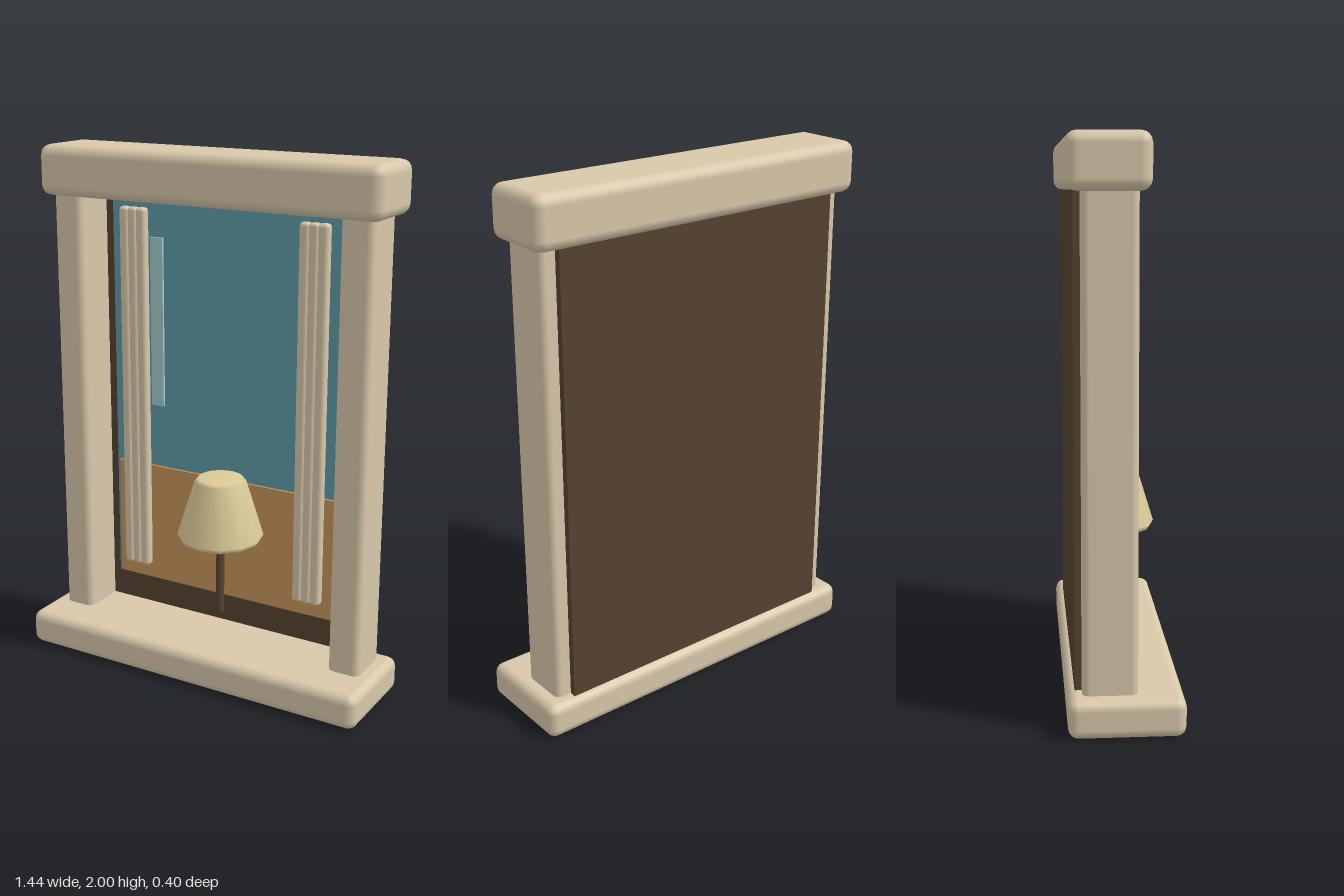
import * as THREE from 'three';
import { RoundedBoxGeometry } from 'three/addons/geometries/RoundedBoxGeometry.js';

const material = (name, color) => {
  const m = new THREE.MeshStandardMaterial({ color });
  m.name = name;
  return m;
};

export function createModel() {
  const stone = material('pale stone', 0xd8c8aa);
  const wood = material('dark wood', 0x564231);
  const glass = material('teal glass', 0x5f9aaa);
  const amber = material('amber panel', 0xc6965a);
  const glint = material('pale glint', 0xa3cccc);
  const cream = material('cream shade', 0xdccb98);

  const model = new THREE.Group();
  model.name = 'windowWithLamp';

  const add = (name, geometry, mat, x = 0, y = 0, z = 0, parent = model) => {
    const mesh = new THREE.Mesh(geometry, mat);
    mesh.name = name;
    mesh.position.set(x, y, z);
    parent.add(mesh);
    return mesh;
  };

  // Box given by its extents; rounded when a radius is passed
  const block = (name, mat, [x0, x1], [y0, y1], [z0, z1], radius = 0, parent = model) => {
    const size = [x1 - x0, y1 - y0, z1 - z0];
    const geometry = radius
      ? new RoundedBoxGeometry(...size, 2, radius)
      : new THREE.BoxGeometry(...size);
    return add(name, geometry, mat, (x0 + x1) / 2, (y0 + y1) / 2, (z0 + z1) / 2, parent);
  };

  // Frame
  block('sill', stone, [-0.72, 0.72], [0, 0.135], [-0.2, 0.2], 0.035);
  block('lintel', stone, [-0.7, 0.7], [1.81, 2], [-0.2, 0.08], 0.04);
  block('backBoard', wood, [-0.6, 0.6], [0.12, 1.83], [-0.174, -0.135]);

  // Panes inside the frame
  block('pane', glass, [-0.5, 0.5], [0.25, 1.82], [-0.135, -0.125]);
  block('lowerPanel', amber, [-0.485, 0.485], [0.255, 0.74], [-0.125, -0.115]);
  block('glint', glint, [-0.315, -0.26], [1, 1.66], [-0.105, -0.096]);

  // Posts and pleated curtains on both sides
  for (const side of [-1, 1]) {
    const label = side > 0 ? 'left' : 'right';
    const post = block(`${label}Post`, stone, [0.535, 0.66], [0.11, 1.84], [-0.15, 0.04], 0.025);
    post.position.x *= side;

    const curtain = new THREE.Group();
    curtain.name = `${label}Curtain`;
    model.add(curtain);
    for (let i = -1; i <= 1; i++) {
      const x = side * 0.382 + i * 0.037;
      block('pleat', stone, [x - 0.021, x + 0.021], [0.32, 1.77], [-0.11, -0.07], 0.014, curtain);
    }
  }

  // Lamp
  const lamp = new THREE.Group();
  lamp.name = 'lamp';
  lamp.position.set(0.048, 0, -0.008);
  model.add(lamp);
  add('stem', new THREE.CylinderGeometry(0.016, 0.016, 0.33, 10), wood, 0, 0.4, 0, lamp);
  const profile = [
    [0, 0.54], [0.152, 0.54], [0.165, 0.56], [0.098, 0.778], [0.086, 0.79], [0, 0.79],
  ].map(([r, y]) => new THREE.Vector2(r, y));
  add('shade', new THREE.LatheGeometry(profile, 12), cream, 0, 0, 0, lamp);

  return model;
}
